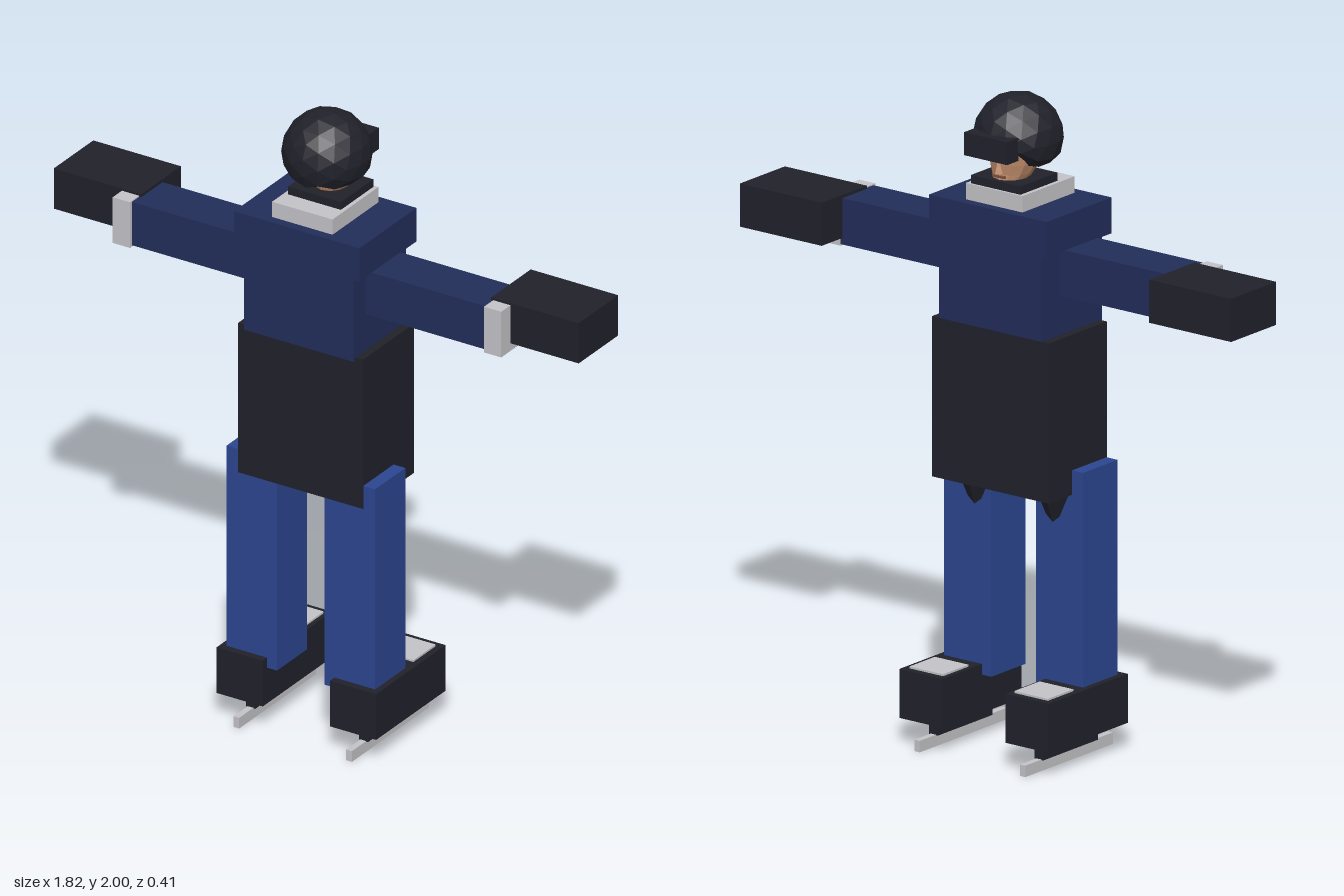
import * as THREE from 'three';

const paint = (name, color) => {
  const m = new THREE.MeshStandardMaterial({ color, flatShading: true });
  m.name = name;
  return m;
};

export function createModel() {
  const navy = paint('jersey navy', 0x222e5a);
  const blue = paint('sock blue', 0x2c4590);
  const black = paint('gear black', 0x21212b);
  const grey = paint('trim grey', 0xc4c4c8);
  const skin = paint('skin', 0xbb8866);
  const lip = paint('lip brown', 0x7d4f3c);

  const model = new THREE.Group();
  model.name = 'skater';

  const add = (name, geometry, material) => {
    const mesh = new THREE.Mesh(geometry, material);
    mesh.name = name;
    model.add(mesh);
    return mesh;
  };
  // Box given by its limits on each axis
  const box = (name, material, [x0, x1], [y0, y1], [z0, z1]) => {
    const mesh = add(name, new THREE.BoxGeometry(Math.abs(x1 - x0), y1 - y0, z1 - z0), material);
    mesh.position.set((x0 + x1) / 2, (y0 + y1) / 2, (z0 + z1) / 2);
    return mesh;
  };

  // Body
  box('pants', black, [-0.217, 0.217], [0.815, 1.305], [-0.11, 0.165]);
  box('torso', navy, [-0.19, 0.19], [1.295, 1.575], [-0.11, 0.175]);
  box('shoulderYoke', navy, [-0.218, 0.218], [1.57, 1.68], [-0.122, 0.185]);
  box('collar', grey, [-0.105, 0.105], [1.675, 1.73], [-0.092, 0.155]);
  box('neckGuard', black, [-0.092, 0.092], [1.725, 1.755], [-0.085, 0.09]);

  // Head: rows of height, half width, face z, back z
  const rows = [
    [1.72, 0.035, -0.055, 0.04], [1.74, 0.045, -0.074, 0.05],
    [1.77, 0.062, -0.069, 0.06], [1.8, 0.075, -0.072, 0.09],
    [1.85, 0.08, -0.076, 0.1], [1.92, 0.06, -0.05, 0.08],
  ];
  const sides = 12, points = [], faces = [];
  rows.forEach(([y, w, front, back], i) => {
    for (let j = 0; j < sides; j++) {
      const a = (j / sides) * Math.PI * 2, n = (j + 1) % sides;
      points.push(w * Math.sin(a), y, (front + back) / 2 + ((back - front) / 2) * Math.cos(a));
      if (i < rows.length - 1) {
        const p = i * sides + j, q = i * sides + n;
        faces.push(p, q, q + sides, p, q + sides, p + sides);
      }
    }
  });
  const headShape = new THREE.BufferGeometry();
  headShape.setAttribute('position', new THREE.Float32BufferAttribute(points, 3));
  headShape.setIndex(faces);
  headShape.computeVertexNormals();
  add('head', headShape, skin);

  const nose = add('nose', new THREE.ConeGeometry(0.016, 0.05, 4), skin);
  nose.position.set(0, 1.8, -0.072);
  box('mouth', lip, [-0.022, 0.022], [1.761, 1.768], [-0.073, -0.065]);

  // Helmet: faceted ball cut off low at the back and higher over the face
  const shell = new THREE.IcosahedronGeometry(0.134, 2);
  const pos = shell.attributes.position;
  for (let i = 0; i < pos.count; i++) {
    const floor = pos.getZ(i) < -0.07 ? -0.015 : -0.07;
    pos.setY(i, Math.max(pos.getY(i), floor));
  }
  shell.computeVertexNormals();
  add('helmet', shell, black).position.set(0, 1.867, 0.022);
  box('visor', black, [-0.08, 0.08], [1.83, 1.9], [-0.133, -0.078]);

  // Paired parts: left is +x
  for (const [side, s] of [['left', 1], ['right', -1]]) {
    const pair = (name, material, [x0, x1], y, z) => box(side + name, material, [s * x0, s * x1], y, z);

    pair('Eye', black, [0.02, 0.04], [1.813, 1.822], [-0.07, -0.062]);
    const ear = add(side + 'Ear', new THREE.SphereGeometry(0.022, 6, 5), skin);
    ear.scale.set(0.5, 1.2, 0.8);
    ear.position.set(s * 0.078, 1.815, 0.015);

    // Arm
    pair('ShoulderJoint', black, [0.17, 0.21], [1.455, 1.55], [0, 0.09]);
    pair('Sleeve', navy, [0.197, 0.62], [1.43, 1.572], [-0.035, 0.12]);
    pair('Cuff', grey, [0.615, 0.675], [1.425, 1.575], [-0.035, 0.13]);
    pair('Glove', black, [0.608, 0.912], [1.45, 1.582], [-0.133, 0.08]);

    // Leg
    const thigh = add(side + 'Thigh', new THREE.CylinderGeometry(0.083, 0.02, 0.16, 10), black);
    thigh.position.set(s * 0.145, 0.76, 0.035);
    pair('Sock', blue, [0.083, 0.258], [0.2, 0.89], [0, 0.163]);

    // Skate
    pair('Boot', black, [0.117, 0.277], [0.083, 0.233], [-0.187, 0.187]);
    pair('BootLaces', grey, [0.132, 0.257], [0.232, 0.239], [-0.165, -0.045]);
    pair('BladeHolder', black, [0.18, 0.212], [0.033, 0.085], [-0.13, 0.13]);
    pair('Blade', grey, [0.186, 0.206], [0, 0.035], [-0.207, 0.207]);
  }
  return model;
}
